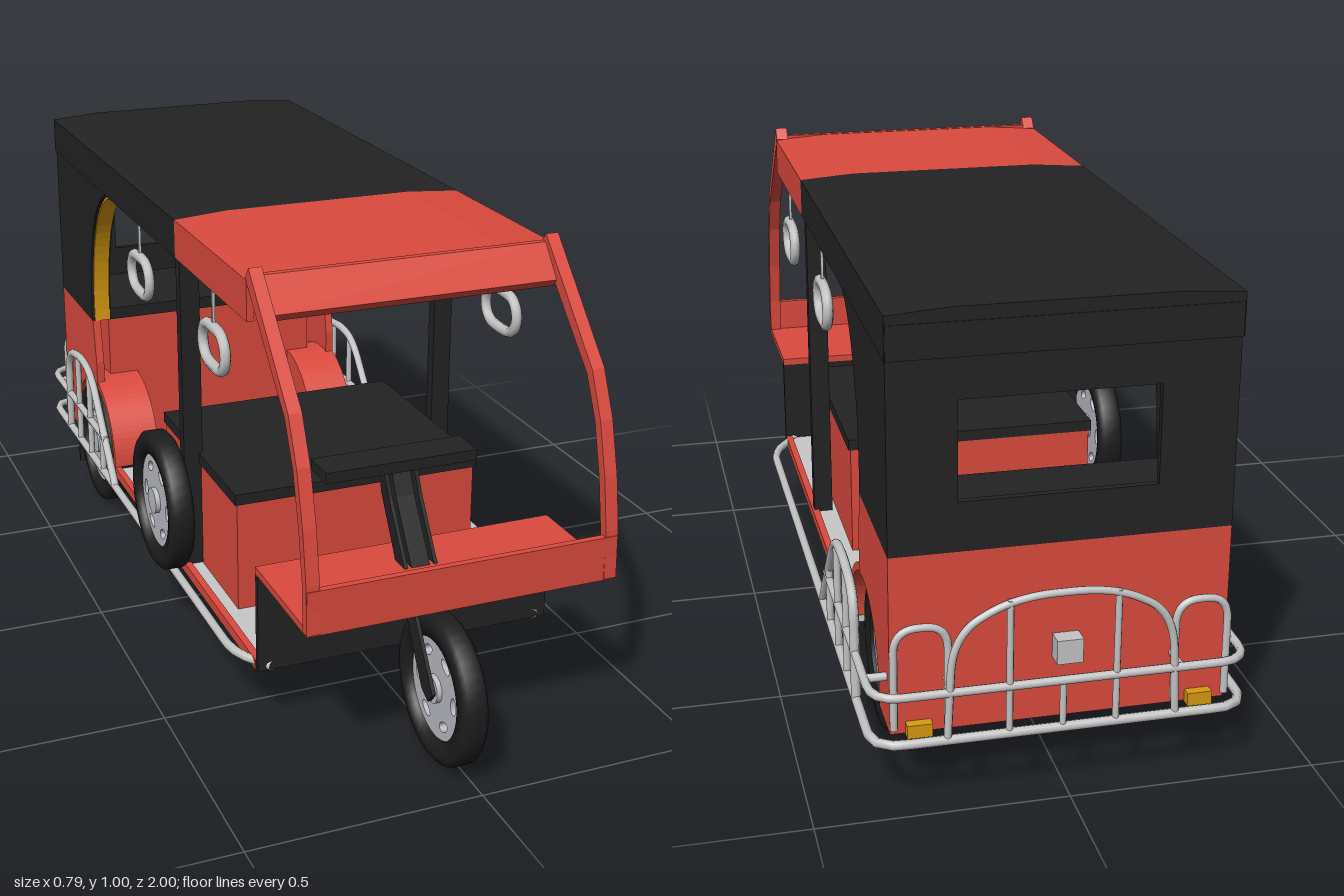
import * as THREE from 'three';

export function createModel() {
  const root = new THREE.Group();
  const mat = (name, color) => {
    const m = new THREE.MeshStandardMaterial({ color, side: THREE.DoubleSide });
    m.name = name;
    return m;
  };
  const red = mat('red paint', 0xdb4a3e), black = mat('black', 0x232323), tyreMat = mat('tyre rubber', 0x1d1d1d);
  const steel = mat('steel', 0xc4c4c4), floorMat = mat('floor grey', 0xc8c8c8), amber = mat('amber', 0xd89a10);
  const rimMat = mat('rim silver', 0xbcbec4);
  const CX = 0.005, SIDES = [-1, 1];

  const add = (name, geo, material, parent = root) => {
    const m = new THREE.Mesh(geo, material);
    m.name = name;
    parent.add(m);
    return m;
  };
  // box given by its limits
  const box = (name, material, x0, x1, y0, y1, z0, z1) => {
    const m = add(name, new THREE.BoxGeometry(x1 - x0, y1 - y0, z1 - z0), material);
    m.position.set((x0 + x1) / 2, (y0 + y1) / 2, (z0 + z1) / 2);
    return m;
  };
  // outline drawn in (z, y), extruded between x0 and x1
  const side = (name, material, shape, x0, x1) => {
    const g = new THREE.ExtrudeGeometry(shape, { depth: x1 - x0, bevelEnabled: false, curveSegments: 20 });
    g.rotateY(-Math.PI / 2).translate(x1, 0, 0);
    return add(name, g, material);
  };
  const poly = (pts) => new THREE.Shape(pts.map((p) => new THREE.Vector2(p[0], p[1])));
  const V = (p) => new THREE.Vector3(...p);
  // tube through points, with small rounded corners
  const pipe = (name, pts, r = 0.009, bend = 0.04) => {
    const path = new THREE.CurvePath(), p = pts.map(V);
    let last = p[0];
    for (let i = 1; i < p.length - 1; i++) {
      const toPrev = p[i - 1].clone().sub(p[i]), toNext = p[i + 1].clone().sub(p[i]);
      const a = p[i].clone().addScaledVector(toPrev.clone().normalize(), Math.min(bend, toPrev.length() * 0.45));
      const b = p[i].clone().addScaledVector(toNext.clone().normalize(), Math.min(bend, toNext.length() * 0.45));
      path.add(new THREE.LineCurve3(last, a));
      path.add(new THREE.QuadraticBezierCurve3(a, p[i], b));
      last = b;
    }
    path.add(new THREE.LineCurve3(last, p[p.length - 1]));
    return add(name, new THREE.TubeGeometry(path, pts.length > 2 ? pts.length * 20 : 1, r, 8), steel);
  };

  // floor, narrowed between the rear wheels
  box('floor', floorMat, -0.325, 0.335, 0.138, 0.153, -0.46, 0.615);
  box('rearFloor', floorMat, -0.24, 0.235, 0.138, 0.153, -0.92, -0.46);
  for (const s of SIDES) {
    const x = CX + s * 0.327;
    box('floorTrim', red, x - 0.008, x + 0.008, 0.136, 0.16, -0.46, 0.6);
  }

  // front cowl
  box('frontWall', black, -0.33, 0.34, 0.14, 0.365, 0.605, 0.618);
  box('cowlTray', red, -0.33, 0.34, 0.362, 0.378, 0.605, 0.885);
  box('cowlFront', red, -0.33, 0.34, 0.362, 0.457, 0.873, 0.888);

  // curved windscreen posts
  const post = poly([[0.585, 1.005], [0.68, 0.905], [0.795, 0.783], [0.838, 0.69], [0.868, 0.58], [0.886, 0.47], [0.89, 0.365],
    [0.868, 0.365], [0.866, 0.46], [0.847, 0.57], [0.818, 0.68], [0.776, 0.768], [0.63, 0.915], [0.565, 0.98]]);
  for (const s of SIDES) side('windscreenPost', red, post, CX + s * 0.322 - 0.014, CX + s * 0.322 + 0.014);
  side('roofFascia', red, poly([[0.57, 0.988], [0.585, 0.988], [0.638, 0.922], [0.622, 0.905], [0.57, 0.965]]), -0.305, 0.315);

  // roof: slightly crowned slab with side skirts
  const roofPart = (name, material, z0, z1) => {
    const s = poly([[-0.33, 0.955], [0.34, 0.955], [0.34, 0.978], [0.22, 0.987], [-0.21, 0.987], [-0.33, 0.978]]);
    const g = new THREE.ExtrudeGeometry(s, { depth: z1 - z0, bevelEnabled: false });
    add(name, g.translate(0, 0, z0), material);
    for (const k of SIDES) {
      const x = CX + k * 0.329;
      box(name + 'Skirt', material, x - 0.008, x + 0.008, 0.893, 0.978, z0, z1);
    }
  };
  roofPart('frontRoof', red, 0.12, 0.575);
  roofPart('rearRoof', black, -0.935, 0.12);
  box('rearRoofSkirt', black, -0.33, 0.34, 0.893, 0.96, -0.937, -0.92);

  // middle posts
  for (const s of SIDES) {
    const x = CX + s * 0.308;
    box('middlePost', black, x - 0.022, x + 0.022, 0.155, 0.96, 0.1, 0.128);
  }

  // seats
  box('middleSeatBase', red, -0.285, 0.28, 0.15, 0.405, -0.135, 0.37);
  box('middleSeatCushion', black, -0.29, 0.285, 0.405, 0.43, -0.138, 0.373);
  box('rearSeatBase', red, -0.283, 0.28, 0.15, 0.51, -0.9, -0.64);
  box('rearSeatCushion', black, -0.285, 0.28, 0.505, 0.535, -0.915, -0.632);

  // rear wall with window
  box('rearWallLower', red, -0.33, 0.34, 0.14, 0.51, -0.93, -0.915);
  const wall = poly([[-0.33, 0.51], [0.34, 0.51], [0.34, 0.9], [-0.33, 0.9]]);
  wall.holes.push(poly([[-0.18, 0.61], [-0.18, 0.81], [0.207, 0.81], [0.207, 0.61]]));
  add('rearWallUpper', new THREE.ExtrudeGeometry(wall, { depth: 0.015, bevelEnabled: false }).translate(0, 0, -0.93), black);

  // rear side panels, opening trim and wheel arches
  const WZ = -0.645, WY = 0.16;
  for (const s of SIDES) {
    const xo = CX + s * 0.335, lim = (a, b) => [Math.min(xo - s * a, xo - s * b), Math.max(xo - s * a, xo - s * b)];
    const upper = new THREE.Shape();
    upper.moveTo(-0.93, 0.9).lineTo(-0.42, 0.9);
    upper.bezierCurveTo(-0.56, 0.87, -0.635, 0.7, -0.622, 0.51);
    upper.lineTo(-0.93, 0.51);
    side('rearSideUpper', black, upper, ...lim(0, 0.05));
    const trim = new THREE.Shape();
    trim.moveTo(-0.42, 0.895).bezierCurveTo(-0.56, 0.865, -0.635, 0.7, -0.622, 0.51);
    trim.lineTo(-0.618, 0.51).bezierCurveTo(-0.631, 0.7, -0.556, 0.86, -0.416, 0.89);
    side('openingTrim', amber, trim, ...lim(0.006, 0.046));

    const lower = new THREE.Shape();
    lower.moveTo(-0.62, 0.51).lineTo(-0.93, 0.51).lineTo(-0.93, 0.14).lineTo(WZ - 0.172, 0.14);
    lower.absarc(WZ, WY, 0.172, Math.PI, Math.PI * 0.42, true);
    lower.lineTo(-0.6, 0.4);
    side('rearSideLower', red, lower, ...lim(0, 0.02));

    const fender = new THREE.Shape();
    fender.absarc(WZ, WY, 0.19, 0, Math.PI, false);
    fender.absarc(WZ, WY, 0.173, Math.PI, 0, true);
    side('fender', red, fender, ...lim(0.001, 0.12));
    const well = new THREE.Shape();
    well.absarc(WZ, WY, 0.188, 0, Math.PI, false);
    side('wheelWell', red, well, ...lim(0.11, 0.12));
    const [l0, l1] = lim(0.03, 0.08);
    box('rearIndicator', amber, l0, l1, 0.138, 0.165, -0.95, -0.925);
    box('sideIndicator', amber, l0, l1, 0.132, 0.15, -0.88, -0.83);
  }
  box('mudFlap', black, -0.345, -0.25, 0.055, 0.14, -0.775, -0.768);

  // wheels: tyre, pierced rim and hub
  const tyreProfile = [[0.108, -0.022], [0.135, -0.029], [0.15, -0.027], [0.16, -0.018], [0.16, 0.018], [0.15, 0.027], [0.135, 0.029], [0.108, 0.022], [0.108, -0.022]]
    .map((p) => new THREE.Vector2(...p));
  const tyreGeo = new THREE.LatheGeometry(tyreProfile, 40).rotateZ(Math.PI / 2);
  const disc = new THREE.Shape();
  disc.absarc(0, 0, 0.111, 0, Math.PI * 2, false);
  for (let i = 0; i < 6; i++) {
    const a = (i * Math.PI) / 3, h = new THREE.Path();
    h.absellipse(Math.cos(a) * 0.079, Math.sin(a) * 0.079, 0.011, 0.019, 0, Math.PI * 2, true, a);
    disc.holes.push(h);
  }
  const discGeo = new THREE.ExtrudeGeometry(disc, { depth: 0.03, bevelEnabled: false, curveSegments: 20 }).translate(0, 0, -0.015).rotateY(Math.PI / 2);
  const hubGeo = new THREE.CylinderGeometry(0.03, 0.03, 0.052, 20).rotateZ(Math.PI / 2);
  const wheel = (name, x, y, z) => {
    const g = new THREE.Group();
    g.name = name;
    add('tyre', tyreGeo, tyreMat, g);
    add('rim', discGeo, rimMat, g);
    add('hub', hubGeo, rimMat, g);
    g.position.set(x, y, z);
    root.add(g);
  };
  wheel('frontWheel', -0.016, 0.161, 0.84);
  wheel('rightRearWheel', -0.305, WY, WZ);
  wheel('leftRearWheel', 0.287, WY, WZ);
  wheel('spareWheel', -0.371, 0.32, 0.105);

  // steering fork and handlebar
  const leg = poly([[0.85, 0.14], [0.87, 0.165], [0.645, 0.5], [0.615, 0.56], [0.59, 0.56], [0.605, 0.5], [0.82, 0.155]]);
  side('steeringColumn', black, poly([[0.755, 0.335], [0.645, 0.5], [0.615, 0.56], [0.59, 0.56], [0.605, 0.5], [0.715, 0.325]]), -0.037, 0.004);
  for (const x of [-0.053, 0.013]) side('forkLeg', black, leg, x, x + 0.008);
  box('handlebar', black, -0.19, 0.147, 0.552, 0.576, 0.56, 0.64);

  // hanging grab rings
  const ringPath = new THREE.CurvePath(), rx = 0.03, ry = 0.042;
  const arc = (cz, a0) => Array.from({ length: 9 }, (_, i) => {
    const a = a0 + (i * Math.PI) / 8;
    return new THREE.Vector3(0, Math.sin(a) * ry, cz + Math.cos(a) * ry);
  });
  const ringCurve = new THREE.CatmullRomCurve3([...arc(rx, -Math.PI / 2), ...arc(-rx, Math.PI / 2)], true);
  const ringGeo = new THREE.TubeGeometry(ringCurve, 48, 0.012, 8, true);
  for (const s of SIDES) for (const z of [0.362, -0.165]) {
    const x = CX + s * 0.333;
    add('grabRing', ringGeo, steel).position.set(x, 0.77, z);
    box('grabStrap', steel, x - 0.003, x + 0.003, 0.82, 0.9, z - 0.003, z + 0.003);
  }

  // lower rail round the sides and back, and the raised rear rail
  const XL = 0.383, XR = -0.357, ZB = -0.988;
  pipe('lowerRail', [[-0.3, 0.15, 0.62], [XR, 0.15, 0.54], [XR, 0.15, ZB], [XL, 0.15, ZB], [XL, 0.15, 0.52], [0.31, 0.15, 0.62]], 0.01, 0.06);
  pipe('upperRail', [[XR, 0.25, -0.43], [XR, 0.25, ZB], [XL, 0.25, ZB], [XL, 0.25, -0.43]], 0.009, 0.06);
  for (const x of [XR, XL]) {
    pipe('wheelGuard', [[x, 0.15, -0.36], [x, 0.385, -0.56], [x, 0.4, -0.66], [x, 0.375, -0.79], [x, 0.15, -0.8]], 0.01, 0.06);
    for (const [z, h] of [[-0.585, 0.39], [-0.695, 0.395]]) pipe('guardBar', [[x, 0.15, z], [x, h, z]], 0.008);
    pipe('guardBar', [[x, 0.15, -0.47], [x, 0.28, -0.47]], 0.008);
    pipe('railBracket', [[x, 0.25, -0.9], [x * 0.85, 0.25, -0.9]], 0.009);
  }
  pipe('rearArch', [[-0.21, 0.15, ZB], [-0.2, 0.37, ZB], [-0.08, 0.435, ZB], [0.11, 0.435, ZB], [0.23, 0.37, ZB], [0.24, 0.15, ZB]], 0.008, 0.08);
  for (const x of [-0.09, 0.015, 0.12]) pipe('rearBar', [[x, 0.15, ZB], [x, x === 0.015 ? 0.25 : 0.43, ZB]], 0.007);
  for (const s of SIDES) {
    const a = CX + s * 0.225, b = CX + s * 0.33;
    pipe('rearHoop', [[a, 0.16, -0.947], [a, 0.37, -0.947], [b, 0.37, -0.947], [b, 0.16, -0.947]], 0.008, 0.05);
    pipe('rearStay', [[a, 0.25, -0.93], [a, 0.25, ZB]], 0.007);
  }
  box('rearLatch', steel, -0.03, 0.022, 0.27, 0.32, -0.965, -0.93);

  return root;
}
